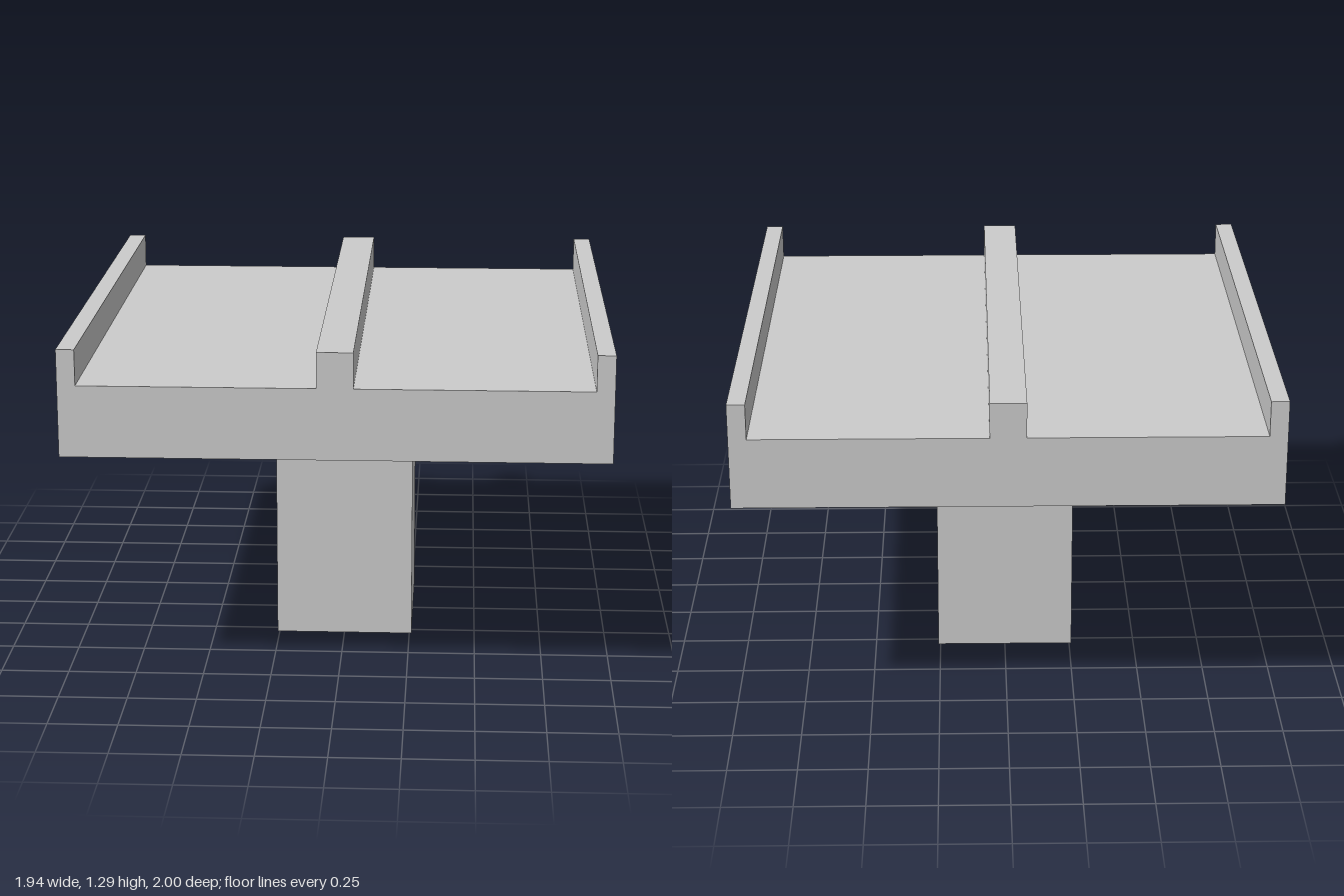
import * as THREE from 'three';

const U = 2 / 31; // design module: the deck is 31 modules long

export function createModel() {
  const group = new THREE.Group();
  const material = new THREE.MeshStandardMaterial({ color: 0xcccccc, flatShading: true });

  const add = (name, geometry, y) => {
    const mesh = new THREE.Mesh(geometry, material);
    mesh.name = name;
    mesh.position.y = y * U;
    group.add(mesh);
  };

  // Pier column and the wider cap that carries the deck
  add('column', new THREE.BoxGeometry(8 * U, 13 * U, 9 * U), 6.5);
  add('columnCap', new THREE.BoxGeometry(10 * U, U, 11 * U), 13.5);

  // Deck section: slab with a central divider and a parapet on each edge
  const half = [[1, 6], [1, 4], [14, 4], [14, 6], [15, 6], [15, 0]];
  const mirrored = half.map(([x, y]) => [-x, y]).reverse();
  const section = new THREE.Shape(
    [...half, ...mirrored].map(([x, y]) => new THREE.Vector2(x * U, y * U))
  );
  const deck = new THREE.ExtrudeGeometry(section, { depth: 31 * U, bevelEnabled: false });
  deck.translate(0, 0, -15.5 * U);
  add('deck', deck, 14);

  return group;
}
